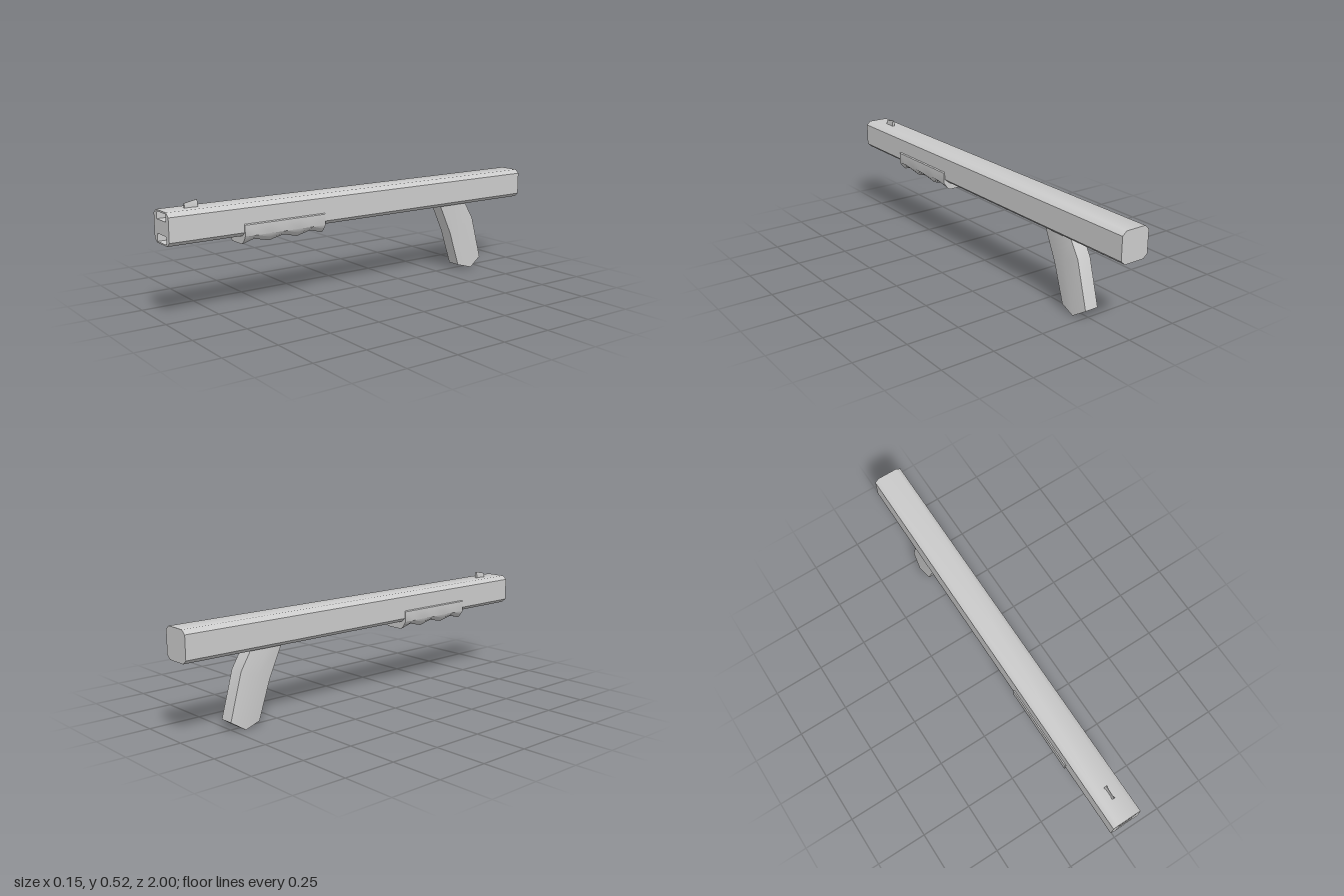
import * as THREE from 'three';
import { toCreasedNormals } from 'three/addons/utils/BufferGeometryUtils.js';

const material = new THREE.MeshStandardMaterial({ color: 0xcccccc });

// Half outline of [x, y, z] points plus its mirror image across x = 0
const ring = (half) => [...half, ...half.map(([x, y, z]) => [-x, y, z]).reverse()];

// Skin a row of mirrored rings; caps are laid as strips between mirrored points
function loft(halves, capStart = true, capEnd = true, crease = 0.8) {
  const rings = halves.map(ring);
  const n = rings[0].length;
  const index = [];
  const quad = (a, b, c, d) => index.push(a, b, c, a, c, d);
  for (let i = 0; i < rings.length - 1; i++) {
    for (let j = 0; j < n; j++) {
      const k = (j + 1) % n;
      quad(i * n + j, i * n + k, (i + 1) * n + k, (i + 1) * n + j);
    }
  }
  const last = (rings.length - 1) * n;
  for (let j = 0; j < n / 2 - 1; j++) {
    if (capStart) quad(n - 1 - j, n - 2 - j, j + 1, j);
    if (capEnd) quad(last + j, last + j + 1, last + n - 2 - j, last + n - 1 - j);
  }
  const geometry = new THREE.BufferGeometry();
  geometry.setAttribute('position', new THREE.Float32BufferAttribute(rings.flat(2), 3));
  geometry.setIndex(index);
  return toCreasedNormals(geometry, crease);
}

export function createModel() {
  const model = new THREE.Group();
  const add = (name, geometry) => {
    const mesh = new THREE.Mesh(geometry, material);
    mesh.name = name;
    model.add(mesh);
    return mesh;
  };

  // Long chamfered body, closed at the rear
  const profile = [[0.05, 0.347], [0.071, 0.365], [0.071, 0.472], [0.05, 0.49]];
  const bodyAt = (z) => profile.map(([x, y]) => [x, y, z]);
  add('body', loft([bodyAt(-1), bodyAt(1)], true, false));

  // Front plate with two rectangular openings, each leading into a blind slot
  const toVectors = (points) => points.map(([x, y]) => new THREE.Vector2(x, y));
  const plate = new THREE.Shape(toVectors(ring(profile.map(([x, y]) => [x, y, 0]))));
  for (const [name, y0, y1] of [['upperSlot', 0.45, 0.483], ['lowerSlot', 0.353, 0.388]]) {
    const w = 0.044;
    plate.holes.push(new THREE.Path(toVectors([[-w, y0], [-w, y1], [w, y1], [w, y0]])));
    // Negative x turns the skin inside out, so the slot walls face inward
    const slotAt = (z) => [[-w, y0, z], [-w, y1, z]];
    add(name, loft([slotAt(0.85), slotAt(1)], true, false));
  }
  add('frontPlate', new THREE.ShapeGeometry(plate)).position.z = 1;

  // Forward hand guard with a scalloped underside
  const guardStations = [0.235, 0.3, 0.37, 0.44, 0.515, 0.59, 0.65];
  add('foregrip', loft(guardStations.map((z, i) => {
    const lift = i % 2 ? 0.017 : 0;
    return [
      [0.045, 0.309 + lift, z],
      [0.063, 0.327 + lift * 0.6, z],
      [0.076, 0.348, z],
      [0.076, 0.398, z],
      [0.07, 0.403, z],
    ];
  })));

  // Raked rear handle: [y, z] of the front, middle and back edges, bottom to top
  const gripLevels = [
    [[0.022, -0.62], [0, -0.7], [0.045, -0.77]],
    [[0.2, -0.56], [0.23, -0.635], [0.26, -0.71]],
    [[0.35, -0.49], [0.35, -0.57], [0.35, -0.655]],
  ];
  const gripWidths = [0.034, 0.044, 0.034];
  add('pistolGrip', loft(gripLevels.map((level) =>
    level.map(([y, z], i) => [gripWidths[i], y, z]))));

  // Small pointed front sight, pinched between its ends
  const sightStations = [[0.835, 0.007, 0.521], [0.85, 0.004, 0.519], [0.88, 0.004, 0.513], [0.895, 0.007, 0.51]];
  add('frontSight', loft(sightStations.map(([z, w, top]) => [
    [w, 0.485, z],
    [w, top - 0.016, z],
    [0.0015, top, z],
  ]), true, true, 0.4));

  return model;
}
